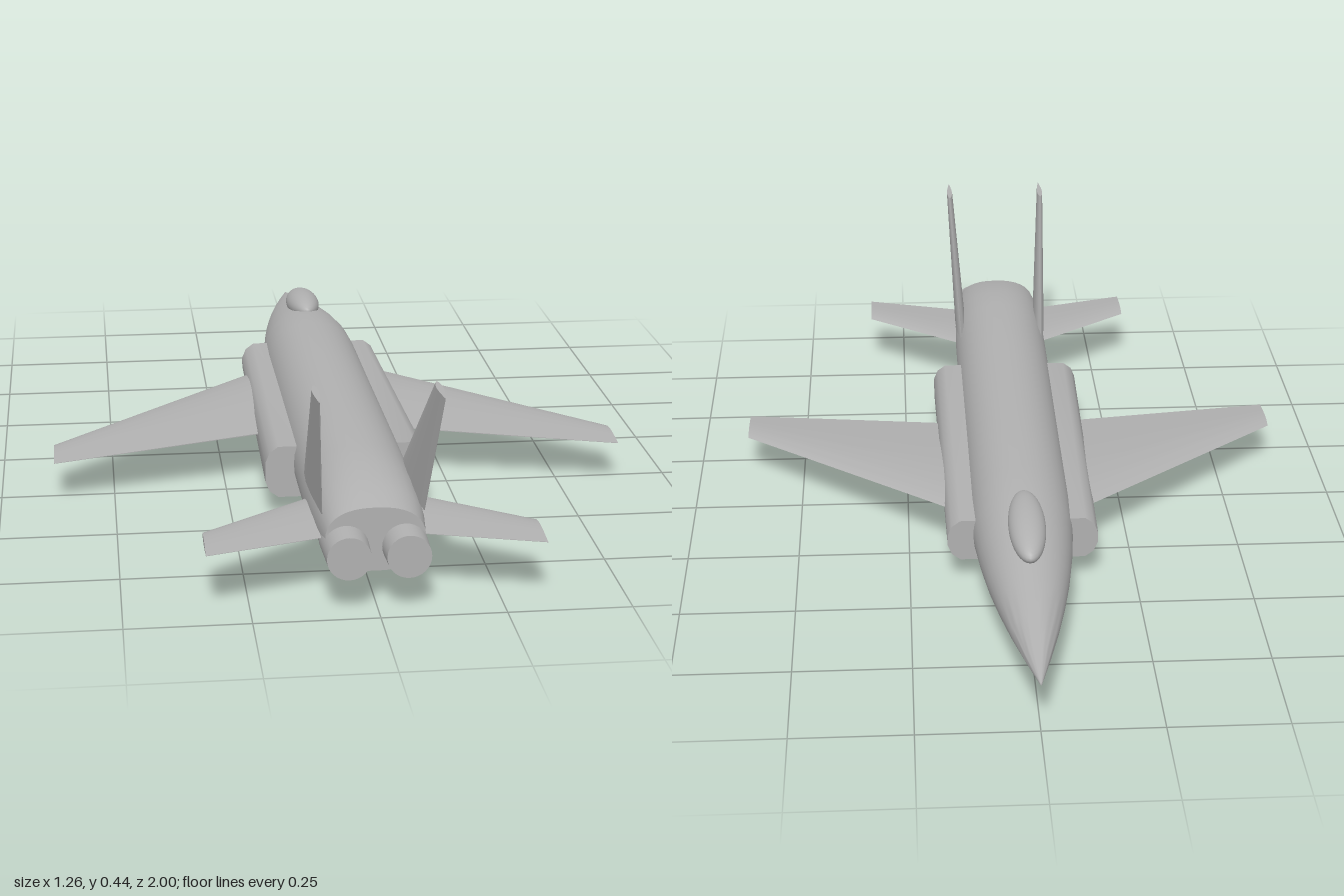
import * as THREE from 'three';
import { toCreasedNormals } from 'three/addons/utils/BufferGeometryUtils.js';

// Skins a list of equal-sized rings of points and closes both ends.
function loft(rings, crease = 0.6) {
  const n = rings[0].length;
  const pos = rings.flat(2);
  const tris = [];
  for (let r = 0; r < rings.length - 1; r++) {
    for (let i = 0; i < n; i++) {
      const j = (i + 1) % n;
      const a = r * n + i, b = r * n + j, c = a + n, d = b + n;
      tris.push([a, b, d], [a, d, c]);
    }
  }
  const last = (rings.length - 1) * n;
  for (let i = 1; i < n - 1; i++) {
    tris.push([0, i + 1, i], [last, last + i, last + i + 1]);
  }
  // Turn the faces outwards if the enclosed volume is negative.
  const at = (i) => new THREE.Vector3().fromArray(pos, i * 3);
  let volume = 0;
  for (const [a, b, c] of tris) volume += at(a).dot(at(b).cross(at(c)));
  if (volume < 0) tris.forEach((t) => t.reverse());
  const geo = new THREE.BufferGeometry();
  geo.setAttribute('position', new THREE.Float32BufferAttribute(pos, 3));
  geo.setIndex(tris.flat());
  return toCreasedNormals(geo, crease);
}

// Rounded section in the xy plane; a higher power is squarer.
function oval(x, z, halfWidth, bottom, top, power = 2, n = 36) {
  const ring = [];
  const soft = (v) => Math.sign(v) * Math.pow(Math.abs(v), 2 / power);
  for (let i = 0; i < n; i++) {
    const t = (i / n) * Math.PI * 2;
    ring.push([
      x + halfWidth * soft(Math.cos(t)),
      (top + bottom) / 2 + ((top - bottom) / 2) * soft(Math.sin(t)),
      z,
    ]);
  }
  return ring;
}

// Thin lens outline: [share of chord, share of half thickness]
const FOIL = [[0, 0], [0.06, 0.45], [0.2, 0.85], [0.38, 1], [0.6, 0.8], [0.8, 0.45], [1, 0.06]];
function foil(point, lead, trail, thickness) {
  const upper = FOIL.map(([c, t]) => [lead + c * (trail - lead), (t * thickness) / 2]);
  const lower = FOIL.slice(1).reverse()
    .map(([c, t]) => [lead + c * (trail - lead), (-t * thickness) / 2]);
  return [...upper, ...lower].map(([z, t]) => point(z, t));
}

export function createModel() {
  const jet = new THREE.Group();
  jet.name = 'jet';
  const grey = new THREE.MeshStandardMaterial({ color: 0xb0b0b0 });
  grey.name = 'grey';
  const add = (name, geo) => {
    const mesh = new THREE.Mesh(geo, grey);
    mesh.name = name;
    jet.add(mesh);
    return mesh;
  };

  // Fuselage: z, half width, bottom, top, squareness
  const body = [
    [-1, 0.002, 0.112, 0.116, 2],
    [-0.9, 0.027, 0.091, 0.138, 2],
    [-0.8, 0.05, 0.071, 0.159, 2],
    [-0.7, 0.07, 0.052, 0.18, 2],
    [-0.6, 0.087, 0.035, 0.199, 2],
    [-0.5, 0.1, 0.02, 0.217, 2],
    [-0.4, 0.109, 0.01, 0.23, 2.05],
    [-0.28, 0.112, 0.006, 0.236, 2.1],
    [0, 0.113, 0.007, 0.238, 2.1],
    [0.4, 0.115, 0.01, 0.242, 2.1],
    [0.65, 0.115, 0.014, 0.243, 2.1],
    [0.75, 0.113, 0.03, 0.238, 2.15],
    [0.85, 0.107, 0.054, 0.222, 2.25],
    [0.915, 0.1, 0.07, 0.203, 2.4],
  ];
  add('fuselage', loft(body.map(([z, w, b, t, p]) => oval(0, z, w, b, t, p))));

  // Canopy
  const canopy = add('canopy', new THREE.SphereGeometry(1, 32, 20));
  canopy.scale.set(0.04, 0.033, 0.132);
  canopy.position.set(0, 0.216, -0.53);
  canopy.rotation.x = -0.1;

  for (const s of [1, -1]) {
    const side = s > 0 ? 'left' : 'right';

    // Intake pod along the flank
    const pod = (z, out, bottom, top) => [
      [0.05, bottom], [out - 0.028, bottom], [out - 0.009, bottom + 0.014], [out, bottom + 0.036],
      [out, top - 0.036], [out - 0.009, top - 0.014], [out - 0.028, top], [0.05, top],
    ].map(([x, y]) => [s * x, y, z]);
    add(side + 'IntakePod', loft([pod(-0.385, 0.166, 0.06, 0.155), pod(0.435, 0.177, 0.052, 0.167)], 0.7));

    // Main wing
    const flat = (x, y) => (z, t) => [s * x, y + t, z];
    add(side + 'Wing', loft([
      foil(flat(0.08, 0.121), -0.322, 0.18, 0.036),
      foil(flat(0.632, 0.1), 0.18, 0.302, 0.015),
    ]));

    // Tailplane
    add(side + 'Tailplane', loft([
      foil(flat(0.06, 0.132), 0.622, 0.872, 0.018),
      foil(flat(0.336, 0.132), 0.832, 0.956, 0.014),
    ]));

    // Fin, leaning outwards
    const upright = (x, y) => (z, t) => [s * (x + t), y, z];
    add(side + 'Fin', loft([
      foil(upright(0.102, 0.178), 0.575, 0.875, 0.026),
      foil(upright(0.12, 0.45), 0.89, 1, 0.014),
    ]));

    // Engine nozzle
    const nozzle = add(side + 'Nozzle', new THREE.CylinderGeometry(0.044, 0.048, 0.115, 32));
    nozzle.rotation.x = Math.PI / 2;
    nozzle.position.set(s * 0.059, 0.121, 0.918);
  }
  return jet;
}
